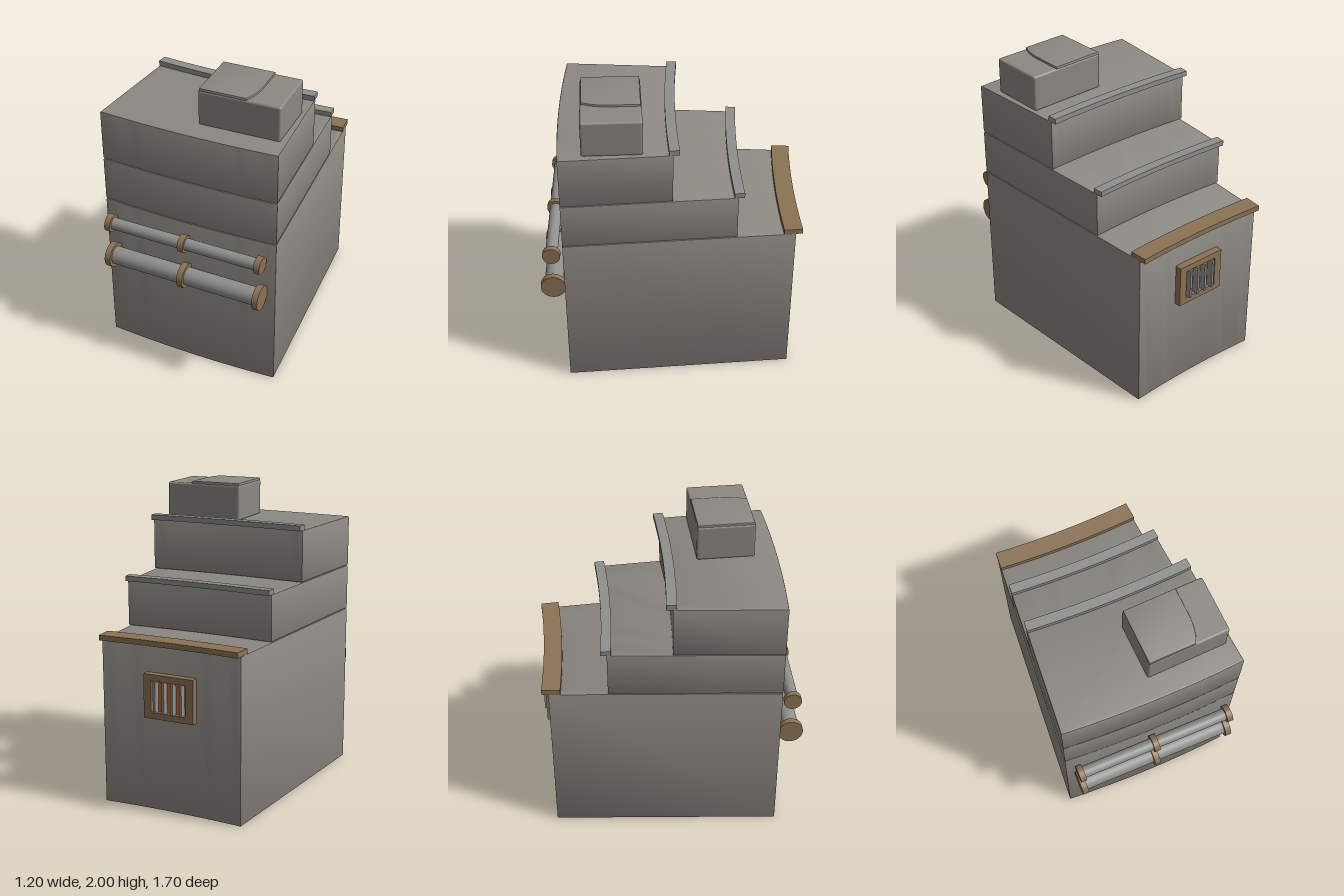
import * as THREE from 'three';
import { toCreasedNormals } from 'three/addons/utils/BufferGeometryUtils.js';
import { RoundedBoxGeometry } from 'three/addons/geometries/RoundedBoxGeometry.js';

const CENTRE_Z = -7.29; // all curved faces are arcs around this point
const HALF_ANGLE = 0.0751;

function colour(name, hex) {
  const m = new THREE.MeshStandardMaterial({ color: hex });
  m.name = name;
  return m;
}

// Slab bounded by two concentric arcs, with softly bevelled edges
function sector(rIn, rOut, y0, y1, bevel) {
  const shape = new THREE.Shape();
  const n = 20;
  const point = (r, t) => [r * Math.sin(t), -CENTRE_Z - r * Math.cos(t)];
  for (let i = 0; i <= n; i++) {
    const p = point(rOut, HALF_ANGLE * (2 * i / n - 1));
    if (i === 0) shape.moveTo(...p); else shape.lineTo(...p);
  }
  for (let i = n; i >= 0; i--) shape.lineTo(...point(rIn, HALF_ANGLE * (2 * i / n - 1)));
  shape.closePath();
  const geo = new THREE.ExtrudeGeometry(shape, {
    depth: y1 - y0 - 2 * bevel, bevelEnabled: bevel > 0,
    bevelThickness: bevel, bevelSize: bevel, bevelOffset: -bevel, bevelSegments: 2,
  });
  geo.rotateX(-Math.PI / 2).translate(0, y0 + bevel, 0);
  return toCreasedNormals(geo, 0.45);
}

export function createModel() {
  const model = new THREE.Group();
  const stone = colour('stone grey', 0x8c8882);
  const metal = colour('metal grey', 0x8f8f8d);
  const brass = colour('dull brass', 0x8b7355);
  const glow = colour('ember orange', 0xc8642d);

  function add(name, geo, mat, x = 0, y = 0, z = 0, parent = model) {
    const mesh = new THREE.Mesh(geo, mat);
    mesh.name = name;
    mesh.position.set(x, y, z);
    parent.add(mesh);
    return mesh;
  }

  // Stepped body
  add('lowerBody', sector(6.503, 8, 0, 1.1, 0.008), stone);
  add('middleTier', sector(6.884, 8, 1.102, 1.408, 0.008), stone);
  add('upperTier', sector(7.296, 8, 1.41, 1.752, 0.008), stone);

  // Edge strips along the back of each step
  add('lowerEdgeStrip', sector(6.46, 6.58, 1.1, 1.135, 0), brass);
  add('middleEdgeStrip', sector(6.845, 6.91, 1.408, 1.442, 0), metal);
  add('upperEdgeStrip', sector(7.255, 7.32, 1.752, 1.787, 0), metal);

  // Front pipes with three collars each
  for (const [name, y, r, collarR] of [['upperPipe', 0.98, 0.04, 0.058], ['lowerPipe', 0.725, 0.06, 0.082]]) {
    const pipe = new THREE.Group();
    pipe.name = name;
    pipe.position.set(0, y, 0.768);
    model.add(pipe);
    add('tube', new THREE.CylinderGeometry(r, r, 1.07, 32).rotateZ(Math.PI / 2), metal, 0, 0, 0, pipe);
    for (const x of [-0.525, 0, 0.525]) {
      add('collar', new THREE.CylinderGeometry(collarR, collarR, 0.04, 32).rotateZ(Math.PI / 2), brass, x, 0, 0, pipe);
    }
  }

  // Barred vent on the back
  const vent = new THREE.Group();
  vent.name = 'vent';
  vent.position.set(0, 0.775, 0);
  model.add(vent);
  const rect = (s, w, h) => s.moveTo(-w, -h).lineTo(w, -h).lineTo(w, h).lineTo(-w, h).closePath();
  const frame = rect(new THREE.Shape(), 0.175, 0.145);
  frame.holes.push(rect(new THREE.Path(), 0.122, 0.102));
  add('ventFrame', new THREE.ExtrudeGeometry(frame, { depth: 0.055, bevelEnabled: false }), brass, 0, 0, -0.835, vent);
  add('ventGlow', new THREE.BoxGeometry(0.25, 0.21, 0.008), glow, 0, 0, -0.802, vent);
  for (let i = 0; i < 4; i++) {
    add('ventBar', new THREE.BoxGeometry(0.017, 0.205, 0.05), metal, -0.093 + i * 0.062, 0, -0.825, vent);
  }

  // Slightly turned box on top, with a thin folded flap
  const pack = new THREE.Group();
  pack.name = 'topBox';
  pack.position.set(0.275, 1.75, 0.365);
  pack.rotation.y = 0.035;
  model.add(pack);
  add('boxBody', new RoundedBoxGeometry(0.535, 0.238, 0.378, 3, 0.014), stone, 0, 0.117, 0, pack);
  const flap = new THREE.Shape();
  flap.moveTo(-0.255, -0.178).lineTo(0.04, -0.178);
  flap.quadraticCurveTo(0.08, -0.1, 0.08, 0).lineTo(0.08, 0.178).lineTo(-0.255, 0.178).closePath();
  const flapGeo = new THREE.ExtrudeGeometry(flap, {
    depth: 0.018, bevelThickness: 0.006, bevelSize: 0.006, bevelOffset: 0, bevelSegments: 2,
  }).rotateX(-Math.PI / 2);
  add('boxFlap', toCreasedNormals(flapGeo, 0.6), stone, 0, 0.226, 0, pack);

  return model;
}
